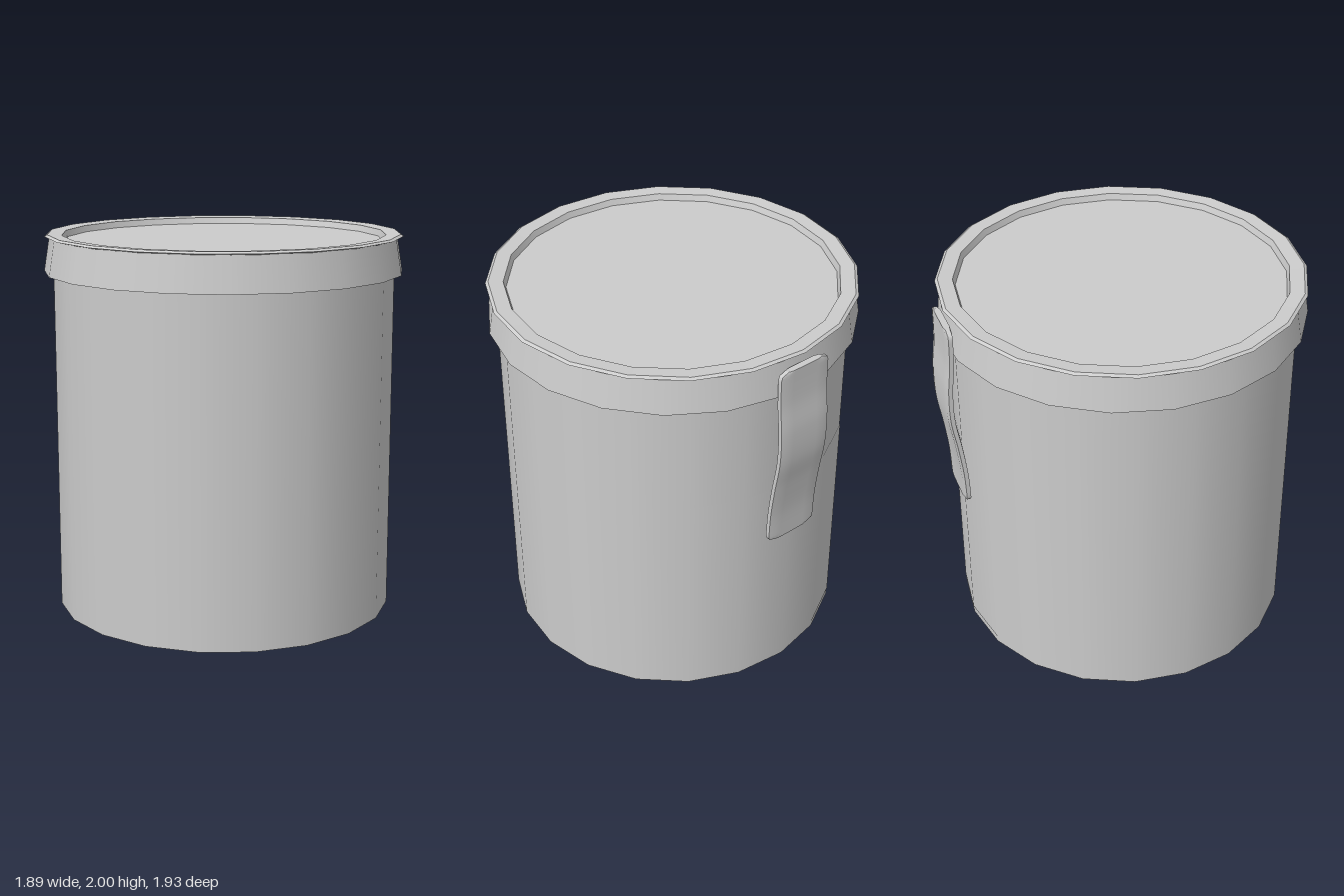
import * as THREE from 'three';

const SIDES = 20;
const TURN = THREE.MathUtils.degToRad(7.7);
const CENTRE_Z = 0.02;

export function createModel() {
  const model = new THREE.Group();
  const grey = new THREE.MeshStandardMaterial({ color: 0xcccccc });
  const thin = new THREE.MeshStandardMaterial({ color: 0xcccccc, side: THREE.DoubleSide });

  // One turned band per profile segment keeps the rims sharp and the walls smooth
  function turned(name, profile, turn = TURN) {
    const group = new THREE.Group();
    group.name = name;
    for (let i = 0; i < profile.length - 1; i++) {
      const pts = [profile[i], profile[i + 1]].map(([r, y]) => new THREE.Vector2(r, y));
      const band = new THREE.Mesh(new THREE.LatheGeometry(pts, SIDES, turn), grey);
      band.name = name + 'Band';
      group.add(band);
    }
    group.position.z = CENTRE_Z;
    model.add(group);
  }

  // Container with closed base
  turned('body', [[0, 0], [0.895, 0], [0.895, 1.9]]);

  // Flared lid skirt with its underside
  turned('lidSkirt', [[0.87, 1.8], [0.945, 1.8], [0.915, 1.985]], 0);

  // Lid lip, rim and recessed top
  turned('lidTop', [[0.9, 1.98], [0.94, 1.99], [0.925, 2], [0.85, 1.995], [0.838, 1.962], [0, 1.962]]);

  // Thin label covering four sides of the back
  const step = (Math.PI * 2) / SIDES;
  const label = new THREE.Mesh(
    new THREE.LatheGeometry(
      [new THREE.Vector2(0.898, 0.04), new THREE.Vector2(0.898, 1.2)], 4, TURN + 8 * step, 4 * step),
    thin);
  label.name = 'backLabel';
  label.position.z = CENTRE_Z;
  model.add(label);

  // Bowed strap from the lid down the back, with softened ends
  const bow = new THREE.SplineCurve([
    [0.9, -0.883], [1.07, -0.889], [1.25, -0.91], [1.42, -0.936],
    [1.59, -0.938], [1.76, -0.922], [1.94, -0.918],
  ].map(([y, z]) => new THREE.Vector2(y, z)));
  const width = 0.3, thickness = 0.034, length = 1.04, corner = 0.045;
  const geo = new THREE.BoxGeometry(width, length, thickness, 8, 48, 2);
  const pos = geo.attributes.position;
  for (let i = 0; i < pos.count; i++) {
    const x = pos.getX(i), y = pos.getY(i), z = pos.getZ(i);
    const p = bow.getPoint(THREE.MathUtils.clamp(y / length + 0.5, 0, 1));
    // Round the corners and thin the side edges
    const over = Math.max(0, Math.abs(y) - (length / 2 - corner));
    const inset = corner - Math.sqrt(Math.max(0, corner * corner - over * over));
    const edge = Math.abs(x) > width * 0.49 ? 0.65 : 1;
    pos.setXYZ(i, x * (1 - (2 * inset) / width), p.x, p.y + z * edge);
  }
  geo.translate(0, 0, 0.92);
  geo.rotateY(THREE.MathUtils.degToRad(6));
  geo.computeVertexNormals();
  const strap = new THREE.Mesh(geo, grey);
  strap.name = 'backStrap';
  strap.position.set(-0.115, 0, -0.92);
  model.add(strap);

  return model;
}
